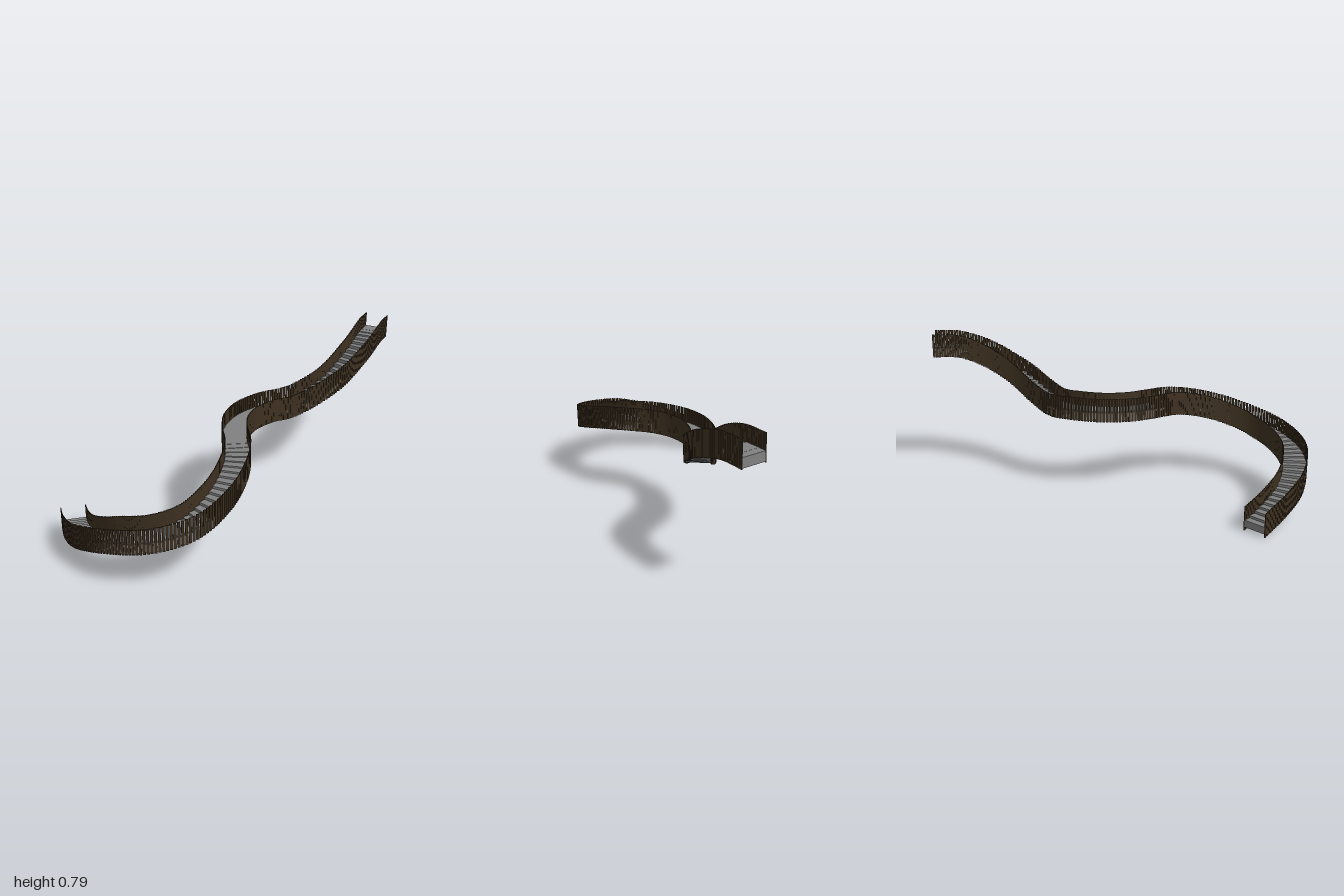
import * as THREE from 'three';
import { mergeGeometries } from 'three/addons/utils/BufferGeometryUtils.js';

// Centreline from the top landing to the foot: x, base height, z
const PATH = [
  [0.397, 0.67, -0.995], [0.409, 0.668, -0.87], [0.414, 0.635, -0.75], [0.4, 0.585, -0.64],
  [0.36, 0.51, -0.51], [0.275, 0.435, -0.39], [0.205, 0.4, -0.305], [0.145, 0.4, -0.2],
  [0.11, 0.4, -0.05], [0.132, 0.4, 0.09], [0.195, 0.4, 0.205], [0.275, 0.393, 0.31],
  [0.33, 0.369, 0.44], [0.353, 0.325, 0.6], [0.312, 0.265, 0.77], [0.19, 0.222, 0.885],
  [0, 0.18, 0.933], [-0.18, 0.113, 0.89], [-0.315, 0.056, 0.797], [-0.435, 0.003, 0.685],
].map((p) => new THREE.Vector3(...p));

const HALF = 0.06;         // half width of the walkway
const FLOOR = 0.05;        // tread height above the base line
const RAIL = 0.125;        // slat height
const STEP = 0.04;         // going of one step
const PITCH = 0.0145;      // slat spacing

const curve = new THREE.CatmullRomCurve3(PATH, false, 'centripetal');
curve.arcLengthDivisions = 1000;

// Position and horizontal sideways direction at u
function frame(u) {
  const pos = curve.getPointAt(u);
  const t = curve.getTangentAt(u);
  const side = new THREE.Vector3(t.z, 0, -t.x).normalize();
  return { pos, side };
}

// Point on one edge of the walkway (sign +1 or -1) at height y
function edge(f, sign, y) {
  return new THREE.Vector3(f.pos.x + f.side.x * HALF * sign, y, f.pos.z + f.side.z * HALF * sign);
}

function quadGeometry(quads) {
  const pos = [];
  for (const [a, b, c, d] of quads) {
    for (const v of [a, b, c, a, c, d]) pos.push(v.x, v.y, v.z);
  }
  const g = new THREE.BufferGeometry();
  g.setAttribute('position', new THREE.Float32BufferAttribute(pos, 3));
  g.computeVertexNormals();
  return g;
}

// Treads, risers, side faces and end faces
function stairGeometry(frames, soffit) {
  const quads = [];
  const n = frames.length - 1;
  const tread = (i) => (frames[i].pos.y + frames[i + 1].pos.y) / 2 + FLOOR;
  for (let i = 0; i < n; i++) {
    const a = frames[i], b = frames[i + 1], h = tread(i);
    const next = i < n - 1 ? tread(i + 1) : soffit(n);
    quads.push([edge(a, 1, h), edge(a, -1, h), edge(b, -1, h), edge(b, 1, h)]);
    quads.push([edge(b, -1, h), edge(b, -1, next), edge(b, 1, next), edge(b, 1, h)]);
    quads.push([edge(b, 1, h), edge(b, 1, soffit(i + 1)), edge(a, 1, soffit(i)), edge(a, 1, h)]);
    quads.push([edge(a, -1, h), edge(a, -1, soffit(i)), edge(b, -1, soffit(i + 1)), edge(b, -1, h)]);
  }
  const f = frames[0], h = tread(0), s = soffit(0);
  quads.push([edge(f, 1, h), edge(f, 1, s), edge(f, -1, s), edge(f, -1, h)]);
  return quadGeometry(quads);
}

// Smooth ribbon below the steps
function soffitGeometry(frames, soffit) {
  const pos = [], index = [];
  frames.forEach((f, i) => {
    for (const sign of [1, -1]) pos.push(...edge(f, sign, soffit(i)).toArray());
    if (i > 0) {
      const l0 = 2 * i - 2, r0 = l0 + 1, l1 = 2 * i, r1 = l1 + 1;
      index.push(l0, l1, r1, l0, r1, r0);
    }
  });
  const g = new THREE.BufferGeometry();
  g.setAttribute('position', new THREE.Float32BufferAttribute(pos, 3));
  g.setIndex(index);
  g.computeVertexNormals();
  return g;
}

// Row of upright slats along one edge
function slatGeometry(sign, length) {
  const n = Math.round(length / PITCH);
  const slats = [];
  for (let i = 0; i <= n; i++) {
    const f = frame((i + 0.4) / (n + 0.8));
    const g = new THREE.BoxGeometry(0.004, RAIL, 0.012);
    g.rotateY(Math.atan2(-f.side.z, f.side.x));
    const p = edge(f, sign, f.pos.y + RAIL / 2);
    g.translate(p.x, p.y, p.z);
    slats.push(g);
  }
  return mergeGeometries(slats);
}

export function createModel() {
  const group = new THREE.Group();
  group.name = 'curvedStairway';
  const stone = new THREE.MeshStandardMaterial({ color: 0x808080 });
  const wood = new THREE.MeshStandardMaterial({ color: 0x3d3020 });

  const length = curve.getLength();
  const steps = Math.round(length / STEP);
  const frames = Array.from({ length: steps + 1 }, (_, i) => frame(i / steps));
  // The underside rises slightly towards the foot
  const soffit = (i) => frames[i].pos.y + 0.004 + 0.016 * Math.max(0, (i / steps - 0.9) / 0.1);

  const add = (name, geometry, material) => {
    const mesh = new THREE.Mesh(geometry, material);
    mesh.name = name;
    group.add(mesh);
  };
  add('steps', stairGeometry(frames, soffit), stone);
  add('underside', soffitGeometry(frames, soffit), stone);
  add('leftSlatRailing', slatGeometry(1, length), wood);
  add('rightSlatRailing', slatGeometry(-1, length), wood);
  return group;
}
